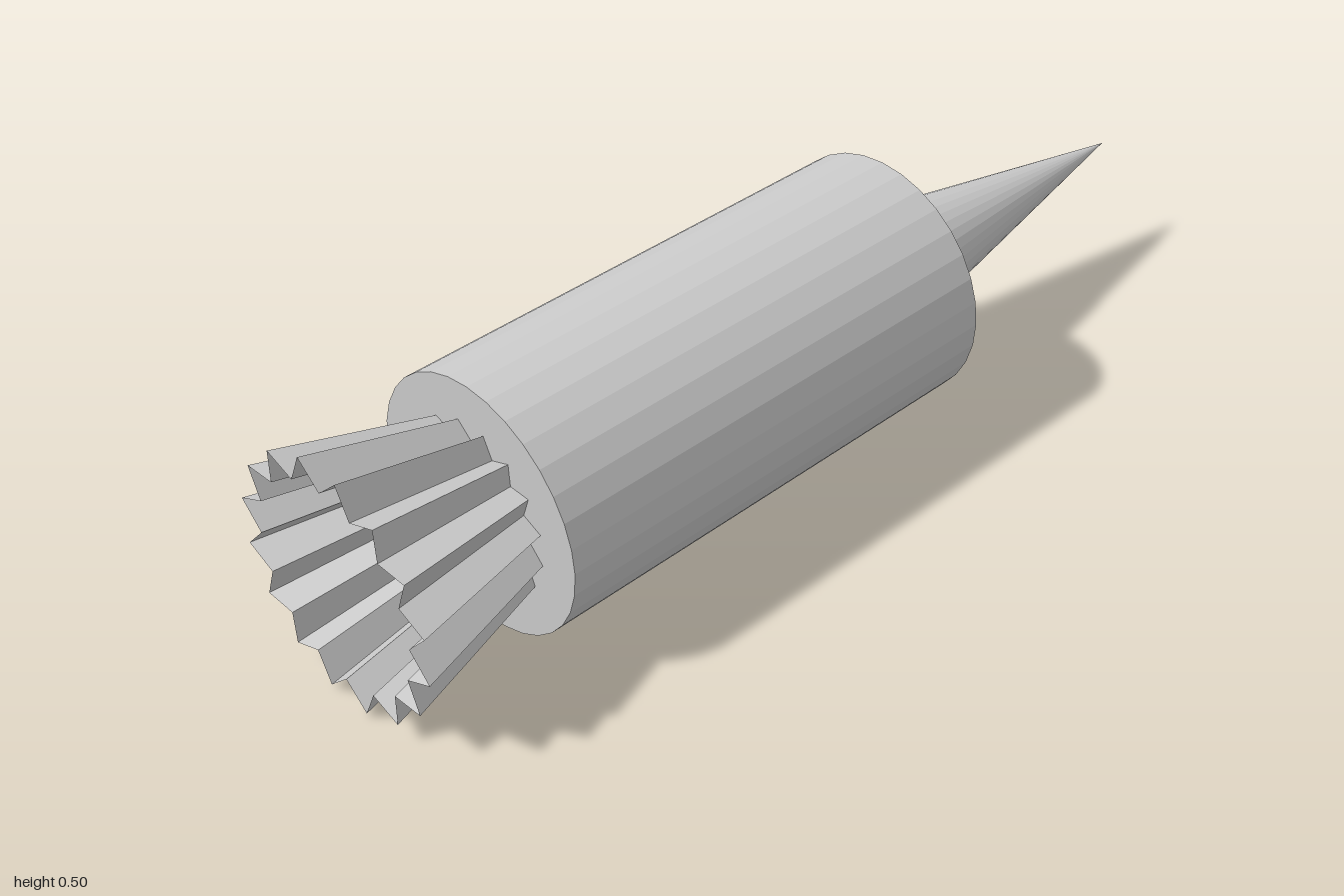
import * as THREE from 'three';

const AXIS_Y = 0.25;
const SIDES = 32;

export function createModel() {
  const group = new THREE.Group();
  const solid = new THREE.MeshStandardMaterial({ color: 0xcccccc, flatShading: true });
  const thin = new THREE.MeshStandardMaterial({ color: 0xcccccc, flatShading: true, side: THREE.DoubleSide });

  // Adds a part built along y, laid down so that its top points to +x
  function addPart(name, geometry, material, x) {
    const mesh = new THREE.Mesh(geometry, material);
    mesh.name = name;
    mesh.rotation.z = -Math.PI / 2;
    mesh.position.set(x, AXIS_Y, 0);
    group.add(mesh);
  }

  // Barrel and pointed tip
  addPart('barrel', new THREE.CylinderGeometry(0.25, 0.25, 1, SIDES), solid, -0.2);
  addPart('tip', new THREE.ConeGeometry(0.125, 0.7, SIDES), solid, 0.65);

  // Pleated tail: open flared tube with every other edge pulled inward
  const tail = new THREE.CylinderGeometry(0.17, 0.25, 0.3, SIDES, 1, true);
  const pos = tail.attributes.position;
  for (let i = 0; i < pos.count; i++) {
    const column = i % (SIDES + 1);
    const s = column % 2 === 0 ? 0.8 : 1;
    pos.setXYZ(i, pos.getX(i) * s, pos.getY(i), pos.getZ(i) * s);
  }
  tail.computeVertexNormals();
  addPart('pleatedTail', tail, thin, -0.85);

  return group;
}
